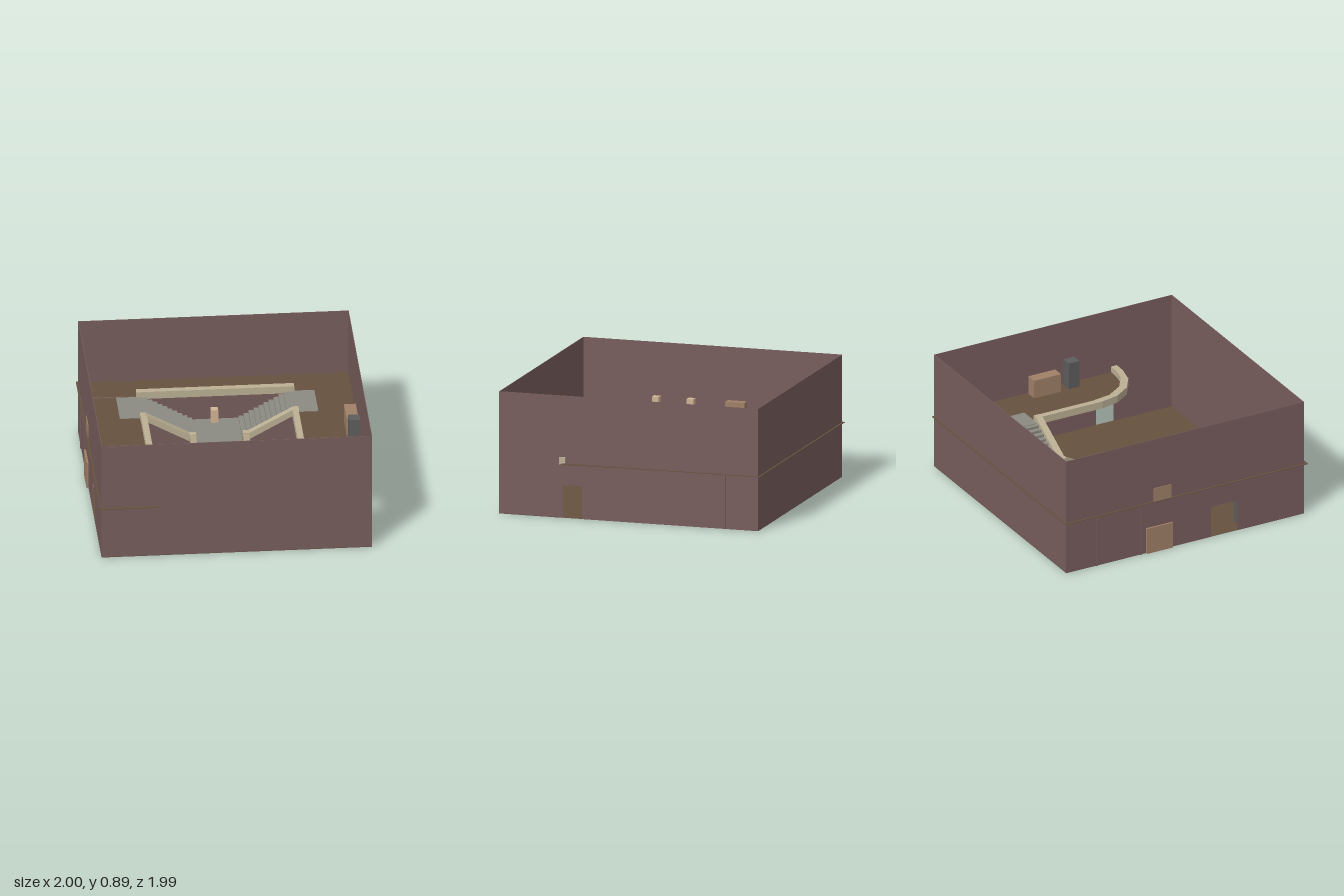
import * as THREE from 'three';

const mat = (color) => new THREE.MeshStandardMaterial({ color, flatShading: true, side: THREE.DoubleSide });

export function createModel() {
  const model = new THREE.Group();
  const wall = mat(0x785d5d), floor = mat(0x66513f), cream = mat(0xbcb095),
    stone = mat(0x8b8a82), wood = mat(0xa08068), steel = mat(0x5d5d5d), skin = mat(0xd0b494);

  const add = (name, geo, m, parent = model) => {
    const mesh = new THREE.Mesh(geo, m);
    mesh.name = name;
    parent.add(mesh);
    return mesh;
  };
  // box from its two extreme corners
  const box = (name, x0, x1, y0, y1, z0, z1, m, parent) => {
    const g = new THREE.BoxGeometry(x1 - x0, y1 - y0, z1 - z0);
    g.translate((x0 + x1) / 2, (y0 + y1) / 2, (z0 + z1) / 2);
    return add(name, g, m, parent);
  };
  const outline = (pts, holes = []) => {
    const s = new THREE.Shape(pts.map((p) => new THREE.Vector2(...p)));
    holes.forEach((h) => s.holes.push(new THREE.Path(h.map((p) => new THREE.Vector2(...p)))));
    return s;
  };
  const extrude = (pts, depth, holes) =>
    new THREE.ExtrudeGeometry(outline(pts, holes), { depth, bevelEnabled: false });
  // (x, y) profile spanning z0..z1
  const alongZ = (name, pts, z0, z1, m, parent) =>
    add(name, extrude(pts, z1 - z0).translate(0, 0, z0), m, parent);
  // (z, y) profile spanning x0..x1
  const alongX = (name, pts, x0, x1, m, parent) =>
    add(name, extrude(pts, x1 - x0).rotateY(-Math.PI / 2).translate(x1, 0, 0), m, parent);
  // (x, z) plan spanning y0..y1
  const plan = (name, pts, y0, y1, m) =>
    add(name, extrude(pts, y1 - y0).rotateX(Math.PI / 2).translate(0, y1, 0), m);

  const H = 0.895, F = 0.4, X0 = -0.985, X1 = 0.96, Z0 = -0.985, Z1 = 0.965, T = 0.004;

  // Outer shell, with a doorway in each side wall
  box('frontWall', X0, X1, 0, H, Z1 - T, Z1, wall);
  box('backWall', X0, X1, 0, H, Z0, Z0 + T, wall);
  const sideWall = (d0, d1) => [[Z0, 0], [d0, 0], [d0, 0.24], [d1, 0.24], [d1, 0], [Z1, 0], [Z1, H], [Z0, H]];
  alongX('leftWall', sideWall(0.34, 0.485), X1 - T, X1, wall);
  alongX('rightWall', sideWall(0.2, 0.42), X0, X0 + T, wall);
  box('groundFloor', X0, X1, 0.001, 0.004, Z0, Z1, floor);

  // Gallery floor around the open hall, with a curved edge on one side
  const outer = [[0.5, 0.14], [0.53, 0.28], [0.61, 0.4], [0.73, 0.48], [0.87, 0.51], [0.968, 0.51]];
  const inner = [[0.968, 0.465], [0.87, 0.46], [0.77, 0.44], [0.65, 0.36], [0.57, 0.235], [0.545, 0.08]];
  plan('galleryFloor', [
    [-1, -1], [0.965, -1], [0.972, 0], [1, 0.49], [0.87, 0.49], [0.74, 0.46], [0.63, 0.38], [0.55, 0.26],
    [0.522, 0.11], [0.522, -0.735], [-0.57, -0.735], [-0.57, 0.99], [-1, 0.99],
  ], F - T, F, floor);

  // Gallery parapets
  const R = 0.445;
  box('straightParapet', -0.59, -0.545, F - 0.01, R, -0.35, Z1 - T, cream);
  box('backParapet', -0.59, 0.545, F - 0.01, R, -0.76, -0.71, cream);
  plan('curvedParapet', [[0.5, -0.35], ...outer, ...inner, [0.545, -0.35]], F - 0.01, R, cream);

  // Ground floor partitions
  box('backPartition', -0.992, 0.968, 0, F, -0.742, -0.73, wall);
  box('passageWall', -0.577, -0.565, 0, F - T, -0.735, -0.375, wall);
  box('passageWall', -0.717, -0.705, 0, F - T, -0.735, -0.375, wall);
  box('sidePartition', -0.992, -0.71, 0, F - T, -0.381, -0.369, wall);
  box('doorLintel', -0.71, -0.57, 0.25, F - T, -0.381, -0.369, wall);
  box('sidePartition', 0.52, X1, 0, F - T, -0.381, -0.369, wall);

  // Split staircase: one flight up to a landing, then two side flights
  const stairs = new THREE.Group();
  stairs.name = 'staircase';
  stairs.position.x = -0.0225;
  model.add(stairs);
  const L = 0.2, N = 10;
  // stepped profile rising from a (at height y) to b
  const steps = (a, b, y) => {
    const pts = [[a, y]], run = (b - a) / N, rise = L / N;
    for (let i = 0; i < N; i++) pts.push([a + run * i, y + rise * (i + 1)], [a + run * (i + 1), y + rise * (i + 1)]);
    return [...pts, [b, y + L - 0.03], [a + run, y]];
  };
  alongX('centreFlight', steps(0.005, -0.4, 0.004), -0.167, 0.167, stone, stairs);
  box('landing', -0.167, 0.167, L - 0.02, L + 0.004, -0.72, -0.39, stone, stairs);
  for (const s of [-1, 1]) {
    const side = new THREE.Group();
    side.name = s < 0 ? 'rightStairs' : 'leftStairs';
    stairs.add(side);
    const mx = (pts) => pts.map(([x, y]) => [x * s, y]);
    const span = (a, b) => (s > 0 ? [a, b] : [-b, -a]);
    alongZ('sideFlight', mx(steps(0.167, 0.525, L)), -0.72, -0.395, stone, side);
    box('topPlatform', ...span(0.52, 0.713), F - 0.01, F + 0.004, -0.72, -0.395, stone, side);
    // sloped walls under the flights with cream rails on top
    alongZ('flightWall', mx([[0.19, 0], [0.55, 0], [0.55, F], [0.52, F], [0.19, 0.24]]), -0.381, -0.369, wall, side);
    alongZ('flightRail', mx([[0.168, 0.22], [0.213, 0.22], [0.53, F - 0.005], [0.57, F - 0.005],
      [0.57, R], [0.53, R], [0.213, 0.27], [0.168, 0.27]]), -0.4, -0.35, cream, side);
    alongX('centreFlightWall', [[0, 0], [-0.375, 0], [-0.375, 0.24], [0, 0.05]], ...span(0.184, 0.196), wall, side);
    alongX('centreFlightRail', [[-0.02, 0.04], [-0.02, 0.085], [-0.36, 0.27], [-0.36, 0.225]],
      ...span(0.168, 0.213), mat(0xa89d83), side);
    box('newelPost', ...span(0.167, 0.214), 0, 0.095, -0.03, 0.015, cream, side);
  }

  // Small pale posts
  for (const [x, y, z] of [[-0.032, L, -0.68], [-0.95, F, 0.142], [-0.95, F, 0.403]])
    box('smallPost', x - 0.026, x + 0.026, y, y + 0.105, z - 0.026, z + 0.026, skin);

  // Gallery furniture
  box('galleryChest', -0.99, -0.92, F, 0.505, -0.27, -0.125, wood);
  box('galleryCounter', 0.86, 0.945, F, 0.54, -0.22, 0, wood);
  box('galleryCabinet', 0.865, 0.945, F, 0.605, 0.07, 0.155, steel);

  // Ground floor furniture
  box('wallCounter', -1, -0.87, 0, 0.2, -0.33, -0.12, wood);
  for (const [x0, x1, z0, z1] of [[-0.44, -0.29, -0.365, -0.3], [0.455, 0.67, -0.365, -0.3],
    [0.55, 0.76, -0.84, -0.77], [0.26, 0.46, -0.84, -0.77]])
    box('lowChest', x0, x1, 0, 0.15, z0, z1, wood);
  for (const z of [0.107, 0.5]) box('cabinet', -0.93, -0.85, 0, 0.23, z - 0.04, z + 0.04, steel);

  return model;
}
